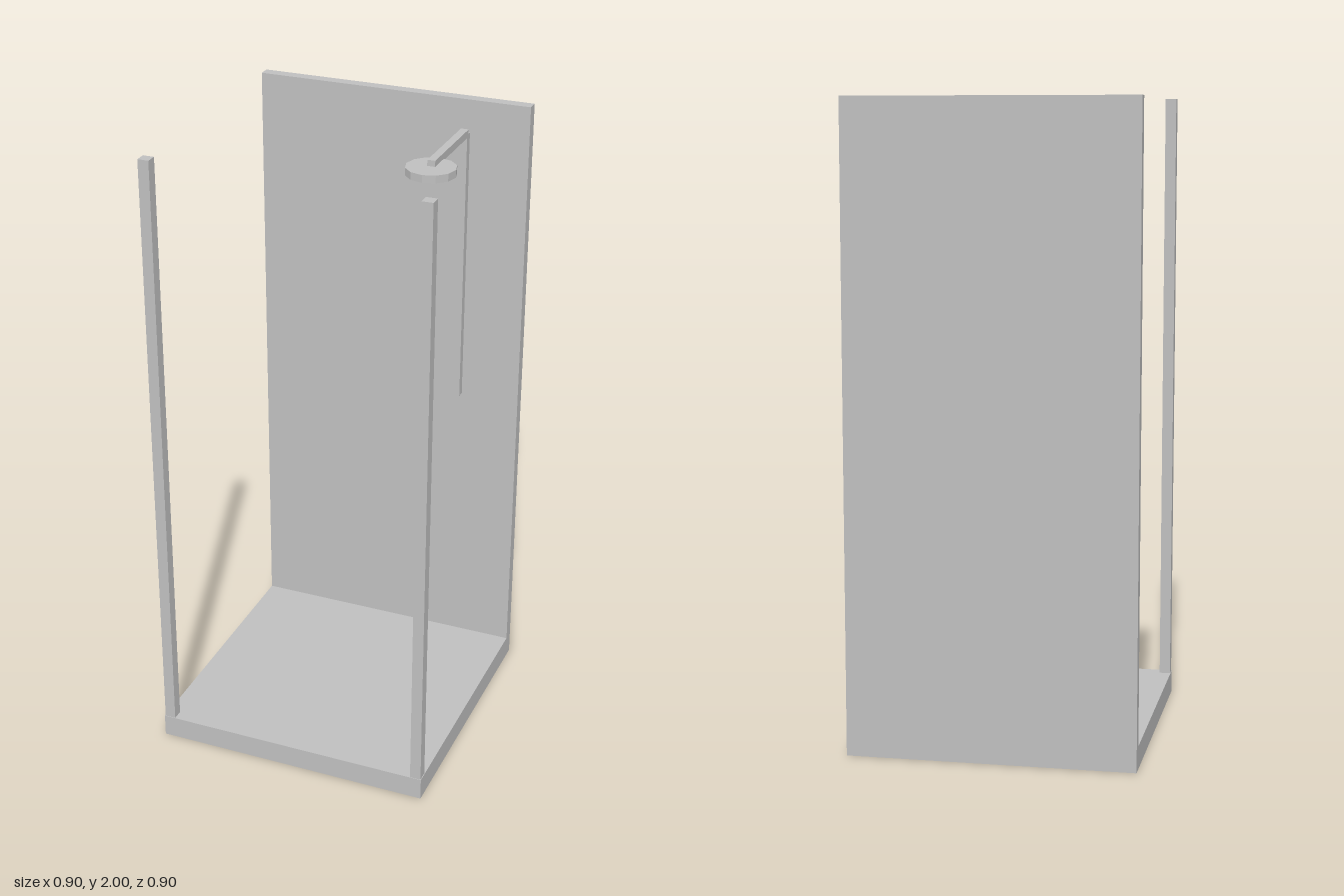
import * as THREE from 'three';

export function createModel() {
  const group = new THREE.Group();
  group.name = 'showerCubicle';
  const grey = new THREE.MeshStandardMaterial({ color: 0xbfbfbf, flatShading: true });
  grey.name = 'plain grey';

  const add = (name, geometry, x, y, z) => {
    const mesh = new THREE.Mesh(geometry, grey);
    mesh.name = name;
    mesh.position.set(x, y, z);
    group.add(mesh);
  };

  // Box given by its lower and upper limits on each axis
  const box = (name, [x0, x1], [y0, y1], [z0, z1]) =>
    add(name, new THREE.BoxGeometry(x1 - x0, y1 - y0, z1 - z0),
      (x0 + x1) / 2, (y0 + y1) / 2, (z0 + z1) / 2);

  const half = 0.448, trayTop = 0.072, wallFront = -0.411;

  // Tray and full-width back wall
  box('tray', [-half, half], [0, trayTop], [-half, half]);
  box('backWall', [-half, half], [trayTop, 2], [-half, wallFront]);

  // Front corner posts, set just inside the tray edge
  box('leftPost', [0.411, 0.446], [trayTop, 2], [0.411, 0.446]);
  box('rightPost', [-0.446, -0.411], [trayTop, 2], [0.411, 0.446]);

  // Riser rail, overhead arm and twelve-sided shower head
  const x = 0.249, r = 0.0125, headZ = -0.08;
  box('riserRail', [x - r, x + r], [1.003, 1.902], [-0.393, -0.368]);
  box('showerArm', [x - r, x + r], [1.891, 1.915], [-0.38, headZ]);
  add('showerHead', new THREE.CylinderGeometry(0.0785, 0.0785, 0.024, 12), x, 1.884, headZ);

  return group;
}
